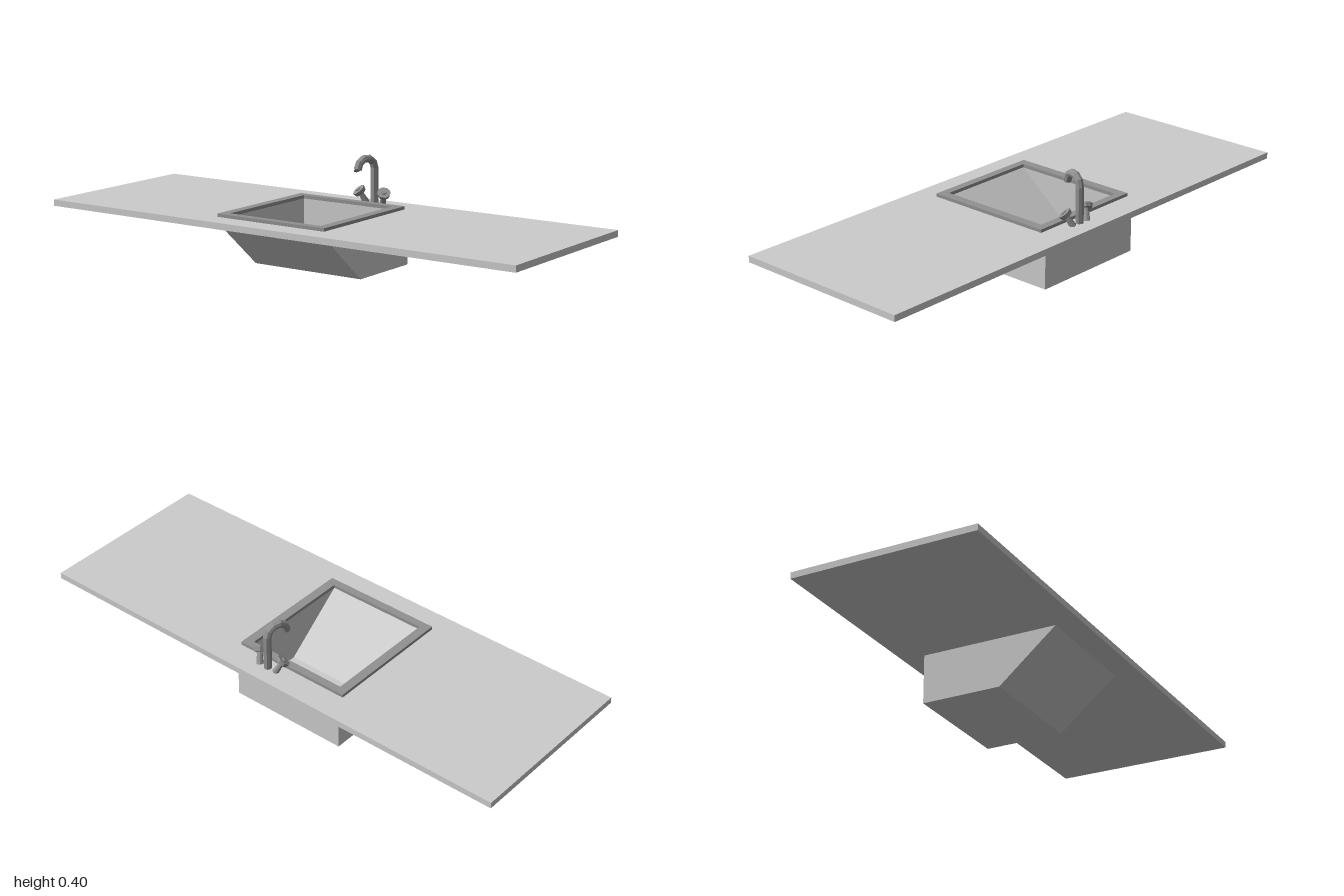
import * as THREE from 'three';

const stone = new THREE.MeshStandardMaterial({ color: 0xcccccc, flatShading: true });
const metal = new THREE.MeshStandardMaterial({ color: 0x919191, flatShading: true });

function add(parent, name, geometry, material) {
  const mesh = new THREE.Mesh(geometry, material);
  mesh.name = name;
  parent.add(mesh);
  return mesh;
}

// Horizontal rectangular plate with a rectangular opening; rectangles are [x0, x1, z0, z1]
function frame(outer, inner, y0, y1) {
  const corners = ([x0, x1, z0, z1]) =>
    [[x0, -z1], [x1, -z1], [x1, -z0], [x0, -z0]].map(p => new THREE.Vector2(...p));
  const shape = new THREE.Shape(corners(outer));
  shape.holes.push(new THREE.Path(corners(inner).reverse()));
  return new THREE.ExtrudeGeometry(shape, { depth: y1 - y0, bevelEnabled: false })
    .rotateX(-Math.PI / 2).translate(0, y0, 0);
}

// Side profile of [z, y] points extruded from x0 to x1
function sideways(points, x0, x1) {
  const shape = new THREE.Shape(points.map(([z, y]) => new THREE.Vector2(-z, y)));
  return new THREE.ExtrudeGeometry(shape, { depth: x1 - x0, bevelEnabled: false })
    .rotateY(Math.PI / 2).translate(x0, 0, 0);
}

// Straight-segment path whose samples land exactly on the corners
class Polyline extends THREE.Curve {
  constructor(points) { super(); this.points = points; }
  getPoint(t, target = new THREE.Vector3()) {
    const n = this.points.length - 1;
    const i = Math.min(Math.floor(t * n), n - 1);
    return target.lerpVectors(this.points[i], this.points[i + 1], t * n - i);
  }
  getPointAt(t, target) { return this.getPoint(t, target); }
  getTangentAt(t, target) { return this.getTangent(t, target); }
}

// Cylinder between two points
function rod(a, b, rA, rB, sides) {
  const dir = b.clone().sub(a);
  const g = new THREE.CylinderGeometry(rB, rA, dir.length(), sides);
  g.applyQuaternion(new THREE.Quaternion().setFromUnitVectors(
    new THREE.Vector3(0, 1, 0), dir.clone().normalize()));
  const mid = a.clone().add(b).multiplyScalar(0.5);
  return g.translate(mid.x, mid.y, mid.z);
}

function createFaucet() {
  const faucet = new THREE.Group();
  faucet.name = 'faucet';
  faucet.position.set(0.025, 0.208, -0.283);

  // Gooseneck spout, swung slightly to one side
  const spout = new THREE.Group();
  spout.name = 'spout';
  spout.rotation.y = -0.28;
  const path = [[0, 0], [0, 0.137], [0.007, 0.159], [0.026, 0.173],
    [0.051, 0.174], [0.071, 0.162], [0.081, 0.136]]
    .map(([z, y]) => new THREE.Vector3(0, y, z));
  add(spout, 'spoutPipe', new THREE.TubeGeometry(new Polyline(path), path.length - 1, 0.015, 8), metal);
  const end = path[path.length - 1];
  const tip = add(spout, 'spoutTip', new THREE.CircleGeometry(0.015, 8), metal);
  tip.position.copy(end);
  tip.lookAt(end.clone().multiplyScalar(2).sub(path[path.length - 2]));
  faucet.add(spout);

  // Mirrored valves: stem leaning outward and forward, with a flat knob
  for (const side of [-1, 1]) {
    const valve = new THREE.Group();
    valve.name = side < 0 ? 'rightValve' : 'leftValve';
    const foot = new THREE.Vector3(side * 0.036, 0, -0.002);
    const axis = new THREE.Vector3(side * 0.4, 0.75, 0.5).normalize();
    const knob = new THREE.Vector3(side * 0.054, 0.045, 0.018);
    add(valve, 'stem', rod(foot, knob, 0.013, 0.009, 8), metal);
    add(valve, 'knob', rod(knob.clone().addScaledVector(axis, -0.008),
      knob.clone().addScaledVector(axis, 0.008), 0.022, 0.026, 8), metal);
    add(valve, 'knobCap', rod(knob, knob.clone().addScaledVector(axis, 0.013), 0.012, 0.009, 8), metal);
    faucet.add(valve);
  }
  return faucet;
}

export function createModel() {
  const model = new THREE.Group();
  model.name = 'sinkCounter';

  // Counter slab with the sink cut-out, and the raised rim around it
  add(model, 'countertop', frame([-1, 1, -0.353, 0.353], [-0.27, 0.17, -0.235, 0.25], 0.186, 0.21), stone);
  add(model, 'sinkRim', frame([-0.285, 0.185, -0.245, 0.265], [-0.25, 0.15, -0.215, 0.235], 0.209, 0.222), metal);

  // Basin: sloped front, flat floor and upright back, closed by two side walls
  const basin = new THREE.Group();
  basin.name = 'basin';
  const top = 0.2095;
  const outer = [[-0.265, 0.19], [-0.265, 0], [0.04, 0], [0.26, 0.186], [0.26, top]];
  const inner = [[0.235, top], [0, 0.022], [-0.215, 0.022], [-0.215, top], [-0.24, top]];
  add(basin, 'basinShell', sideways([...outer, ...inner], -0.25, 0.15), stone);
  const wall = [...outer, [-0.24, top]];
  add(basin, 'basinRightWall', sideways(wall, -0.285, -0.25), stone);
  add(basin, 'basinLeftWall', sideways(wall, 0.15, 0.185), stone);
  model.add(basin);

  model.add(createFaucet());
  return model;
}
